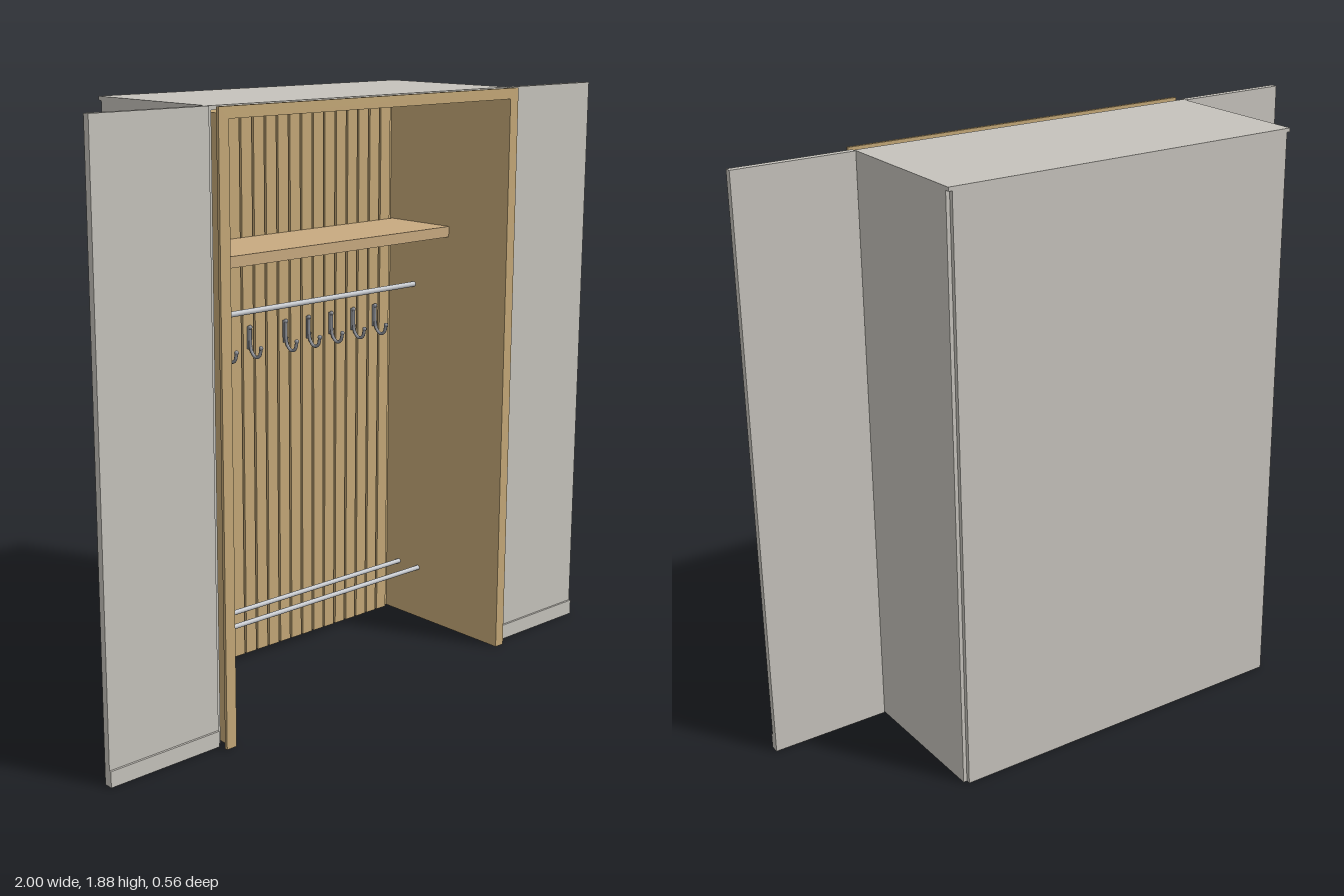
import * as THREE from 'three';

const mat = (name, color) => Object.assign(new THREE.MeshStandardMaterial({ color }), { name });

export function createModel() {
  const root = new THREE.Group();
  root.name = 'builtInWardrobe';
  const grey = mat('greyPanel', 0xc6c3bc);
  const wood = mat('oak', 0xc4a877);
  const shelfWood = mat('shelfOak', 0xc8aa80);
  const steel = mat('steel', 0xc4c7cc);
  const hookMetal = mat('hookMetal', 0x8f9299);

  const add = (name, geometry, material, parent = root) => {
    const mesh = new THREE.Mesh(geometry, material);
    mesh.name = name;
    parent.add(mesh);
    return mesh;
  };
  // Box given by its extents on each axis
  const box = (name, material, x0, x1, y0, y1, z0, z1, parent = root) => {
    const mesh = add(name, new THREE.BoxGeometry(x1 - x0, y1 - y0, z1 - z0), material, parent);
    mesh.position.set((x0 + x1) / 2, (y0 + y1) / 2, (z0 + z1) / 2);
    return mesh;
  };
  // Same box on both sides of the middle
  const pair = (name, material, x0, x1, y0, y1, z0, z1) => {
    box(name + 'Left', material, x0, x1, y0, y1, z0, z1);
    box(name + 'Right', material, -x1, -x0, y0, y1, z0, z1);
  };

  const H = 1.88;

  // Outer shell, open at the front and underneath
  box('topPanel', grey, -0.606, 0.606, H - 0.012, H, -0.28, 0.235);
  box('backPanel', grey, -0.594, 0.594, 0, H - 0.012, -0.28, -0.266);
  pair('sidePanel', grey, 0.594, 0.606, 0, H - 0.012, -0.266, 0.235);

  // Wall wings with skirting boards
  pair('wallWing', grey, 0.608, 1, 0, H, 0.222, 0.244);
  pair('skirting', grey, 0.61, 1, 0, 0.05, 0.244, 0.251);

  // Wooden lining
  pair('sideLining', wood, 0.57, 0.582, 0, 1.86, -0.262, 0.272);
  box('ceilingLining', wood, -0.57, 0.57, 1.846, 1.86, -0.262, 0.272);
  box('backLining', wood, -0.57, 0.57, 0, 1.846, -0.262, -0.253);

  // Casing around the opening
  const frame = new THREE.Shape([
    [-0.606, 0], [-0.57, 0], [-0.57, 1.846], [0.57, 1.846],
    [0.57, 0], [0.606, 0], [0.606, H], [-0.606, H],
  ].map(([x, y]) => new THREE.Vector2(x, y)));
  add('casing', new THREE.ExtrudeGeometry(frame, { depth: 0.01, bevelEnabled: false }), wood)
    .position.z = 0.272;

  // Vertical slats on the back wall
  const slats = new THREE.Group();
  slats.name = 'slats';
  root.add(slats);
  const pitch = 0.0508;
  for (let i = 0; i < 22; i++) {
    const x = (i - 10.5) * pitch;
    box('slat', wood, x - 0.0215, x + 0.0215, 0, 1.846, -0.253, -0.243, slats);
  }

  // Hat shelf
  box('shelf', shelfWood, -0.57, 0.57, 1.38, 1.415, -0.243, 0.025);

  // Clothes rail and the two shoe rails
  const rail = (name, y, z, r) => {
    const g = new THREE.CylinderGeometry(r, r, 1.14, 16).rotateZ(Math.PI / 2);
    add(name, g, steel).position.set(0, y, z);
  };
  rail('clothesRail', 1.2, -0.135, 0.009);
  rail('shoeRailBack', 0.185, -0.19, 0.008);
  rail('shoeRailFront', 0.185, -0.095, 0.008);

  // Coat hooks: wall plate, curled arm and round tip
  const arm = new THREE.CatmullRomCurve3([
    [1.122, -0.234], [1.08, -0.234], [1.045, -0.228], [1.028, -0.208],
    [1.035, -0.188], [1.06, -0.18],
  ].map(([y, z]) => new THREE.Vector3(0, y, z)));
  const armGeometry = new THREE.TubeGeometry(arm, 20, 0.0055, 8);
  const tipGeometry = new THREE.SphereGeometry(0.0075, 12, 8);
  for (const side of [-1, 1]) {
    for (let i = 0; i < 5; i++) {
      const hook = new THREE.Group();
      hook.name = 'coatHook';
      hook.position.x = side * (1.5 + 2 * i) * pitch;
      root.add(hook);
      box('hookPlate', hookMetal, -0.006, 0.006, 1.05, 1.125, -0.243, -0.236, hook);
      add('hookArm', armGeometry, hookMetal, hook);
      add('hookTip', tipGeometry, hookMetal, hook).position.set(0, 1.062, -0.18);
      add('hookTop', tipGeometry, hookMetal, hook).position.set(0, 1.122, -0.234);
    }
  }
  return root;
}
